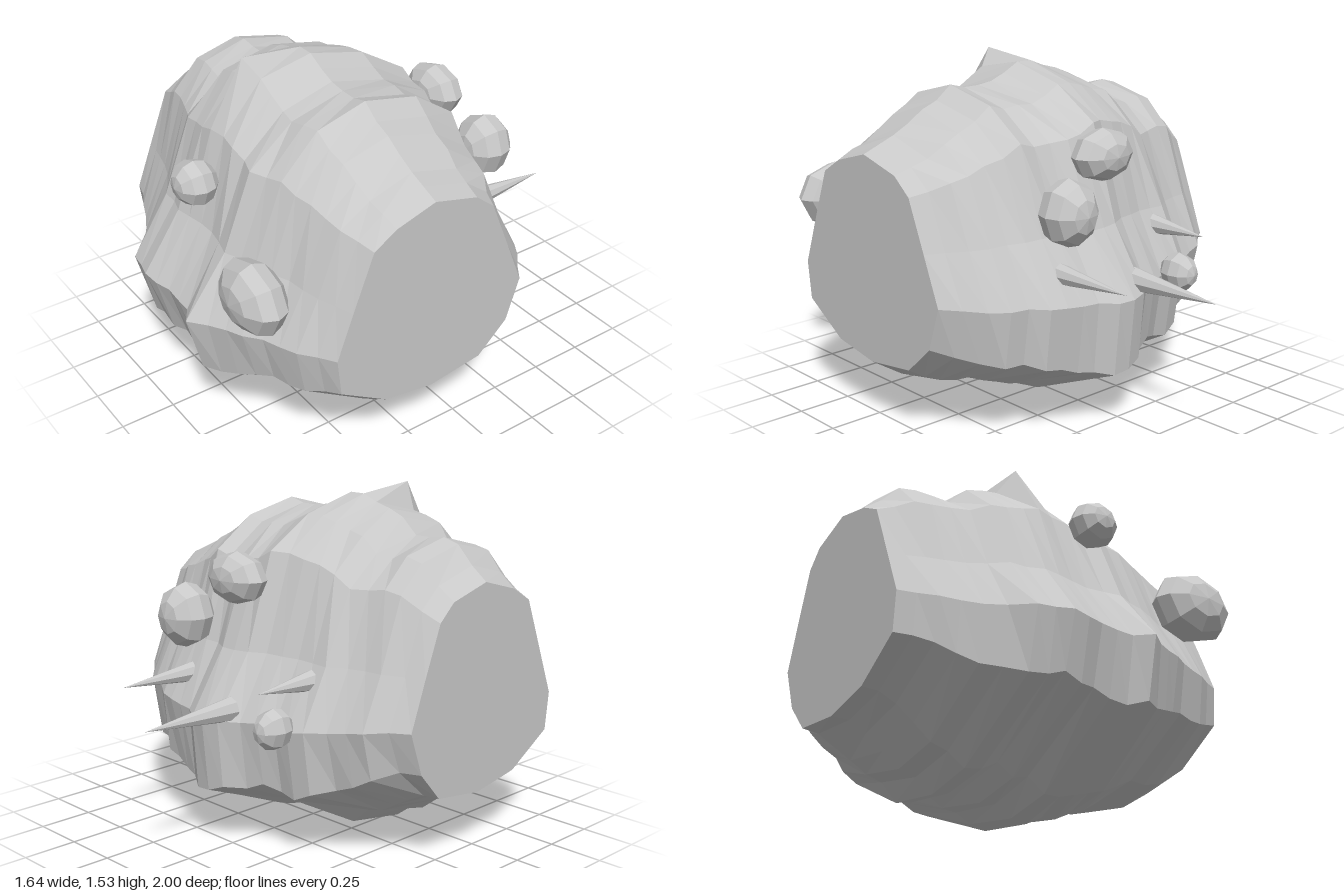
import * as THREE from 'three';

const stone = new THREE.MeshStandardMaterial({ color: 0xc8c8c8, flatShading: true });
stone.name = 'grey stone';

const HALF = 0.82; // half length of the body along x

// Outline corners [z, y], from the top down the front and up the back
const endRing = [
  [0.2, 1.2], [0.39, 1.145], [0.5, 1.08], [0.6, 0.83], [0.68, 0.63], [0.66, 0.46], [0.43, 0.325],
  [0.19, 0.285], [-0.07, 0.32], [-0.21, 0.45], [-0.275, 0.64], [-0.19, 0.85], [-0.1, 1.07], [-0.01, 1.145],
];
const midRing = [
  [0.2, 1.48], [0.45, 1.425], [0.65, 1.23], [0.785, 0.86], [0.97, 0.585], [0.91, 0.31], [0.44, 0.06],
  [0.2, 0.02], [-0.1, 0.08], [-0.57, 0.27], [-0.6, 0.59], [-0.43, 0.87], [-0.28, 1.27], [-0.07, 1.42],
];

// Uneven swelling of the body, section by section along x
const top = [1.2, 1.26, 1.34, 1.36, 1.35, 1.35, 1.42, 1.45, 1.47, 1.5, 1.5, 1.46, 1.43, 1.42, 1.42, 1.44, 1.38, 1.35, 1.3, 1.26, 1.23, 1.2];
const bottom = [0.28, 0.28, 0.24, 0.18, 0.12, 0.1, 0.04, 0.06, 0.1, 0.05, 0.06, 0.01, 0, 0.04, 0.05, 0.09, 0.12, 0.17, 0.16, 0.18, 0.23, 0.28];
const front = [0.68, 0.7, 0.74, 0.77, 0.81, 0.86, 0.95, 0.96, 0.98, 0.97, 0.95, 0.95, 0.95, 1, 0.94, 0.9, 0.87, 0.82, 0.79, 0.76, 0.71, 0.67];
const back = [-0.25, -0.3, -0.37, -0.39, -0.42, -0.48, -0.5, -0.5, -0.53, -0.55, -0.61, -0.63, -0.62, -0.57, -0.56, -0.55, -0.53, -0.48, -0.46, -0.41, -0.34, -0.28];

function seededRandom(seed) {
  return () => {
    seed = (seed * 16807) % 2147483647;
    return seed / 2147483647;
  };
}

function bodyGeometry() {
  const random = seededRandom(71);
  const sections = top.length, sides = endRing.length;
  const positions = [], index = [];

  for (let i = 0; i < sections; i++) {
    const x = -HALF + (2 * HALF * i) / (sections - 1);
    const isEnd = i === 0 || i === sections - 1;
    const up = (top[i] - 1.2) / 0.28, down = (0.285 - bottom[i]) / 0.265;
    const fore = (front[i] - 0.68) / 0.29, aft = (-0.275 - back[i]) / 0.325;
    for (let j = 0; j < sides; j++) {
      const [ez, ey] = endRing[j], [mz, my] = midRing[j];
      let z = THREE.MathUtils.lerp(ez, mz, j <= 7 ? fore : aft);
      let y = THREE.MathUtils.lerp(ey, my, ey > 0.7 ? up : down);
      // chipped surface, moved in or out from the axis
      const chip = (random() - 0.55) * 0.035;
      if (!isEnd && ![0, 4, 7, 10].includes(j)) {
        z += (z - 0.2) * chip;
        y += (y - 0.75) * chip;
      }
      // sharp peak on the upper front edge
      if (i === 9 && j === 1) { z = 0.49; y = 1.53; }
      positions.push(x, y, z);
    }
  }

  // Side faces
  for (let i = 0; i < sections - 1; i++) {
    for (let j = 0; j < sides; j++) {
      const k = (j + 1) % sides;
      const a = i * sides + j, b = i * sides + k;
      index.push(a, b, b + sides, a, b + sides, a + sides);
    }
  }

  // Flat ends
  const last = (sections - 1) * sides, centre = sections * sides;
  positions.push(-HALF, 0.75, 0.2, HALF, 0.75, 0.2);
  for (let j = 0; j < sides; j++) {
    const k = (j + 1) % sides;
    index.push(centre, k, j, centre + 1, last + j, last + k);
  }

  const indexed = new THREE.BufferGeometry();
  indexed.setAttribute('position', new THREE.Float32BufferAttribute(positions, 3));
  indexed.setIndex(index);
  const geometry = indexed.toNonIndexed();
  geometry.computeVertexNormals();
  return geometry;
}

export function createModel() {
  const model = new THREE.Group();
  model.name = 'rock';

  const add = (name, geometry, position) => {
    const mesh = new THREE.Mesh(geometry, stone);
    mesh.name = name;
    mesh.position.set(...position);
    model.add(mesh);
    return mesh;
  };

  add('body', bodyGeometry(), [0, 0, 0]);

  // Faceted pebbles, poles facing front and back
  const pebble = new THREE.SphereGeometry(1, 8, 6).rotateX(Math.PI / 2);
  const pebbles = [
    ['frontSmallPebble', [0.035, 1.125, 0.828], [0.107, 0.1, 0.095]],
    ['frontLargePebble', [0.525, 0.857, 0.865], [0.192, 0.155, 0.115]],
    ['backUpperPebble', [0.035, 1.183, -0.42], [0.158, 0.115, 0.1]],
    ['backLargePebble', [0.3, 0.99, -0.492], [0.132, 0.147, 0.122]],
    ['backLowPebble', [-0.327, 0.615, -0.55], [0.077, 0.09, 0.092]],
  ];
  for (const [name, position, size] of pebbles) add(name, pebble, position).scale.set(...size);

  // Spikes pointing straight back: x, y, base z, tip z, radius
  const spikes = [
    ['longSpike', -0.05, 0.64, -0.54, -1, 0.055],
    ['middleSpike', 0.308, 0.72, -0.45, -0.84, 0.047],
    ['shortSpike', -0.358, 0.793, -0.36, -0.66, 0.047],
  ];
  for (const [name, x, y, base, tip, radius] of spikes) {
    const cone = new THREE.ConeGeometry(radius, base - tip, 8).rotateX(-Math.PI / 2);
    add(name, cone, [x, y, (base + tip) / 2]);
  }

  return model;
}
